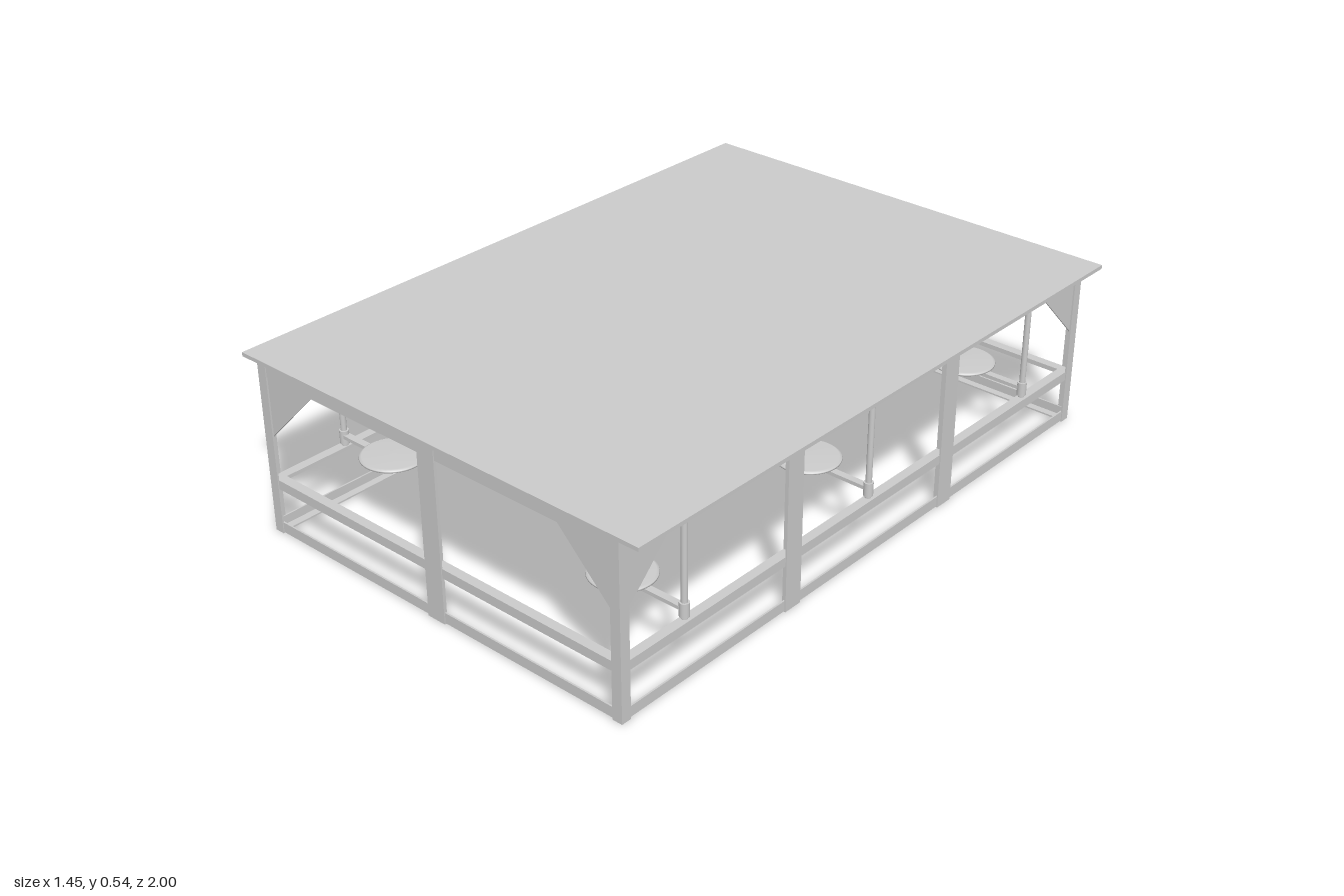
import * as THREE from 'three';

const W = 0.66, D = 1.0;      // half width and half depth of the frame
const F = 0.032, T = 0.005;   // flange width and plate thickness of the angle bars
const TOP = 0.525;            // underside of the tabletop

const mat = new THREE.MeshStandardMaterial({ color: 0xcccccc, side: THREE.DoubleSide });

function add(parent, name, geo, x = 0, y = 0, z = 0) {
  const m = new THREE.Mesh(geo, mat);
  m.name = name;
  m.position.set(x, y, z);
  parent.add(m);
  return m;
}

// box given by its two opposite corners
function span(parent, name, [x0, y0, z0], [x1, y1, z1]) {
  return add(parent, name, new THREE.BoxGeometry(x1 - x0, y1 - y0, z1 - z0),
    (x0 + x1) / 2, (y0 + y1) / 2, (z0 + z1) / 2);
}

// One side of the frame in the XY plane, outer face at z = 0, inside towards -z
function frameSide(name, half, centres) {
  const g = new THREE.Group();
  g.name = name;

  // angle rails: upright flange outside, flat flange at the top or bottom
  const rails = [['apron', 0.493, TOP, true], ['middleRail', 0.143, 0.172, true], ['bottomRail', 0.003, 0.035, false]];
  for (const [part, y0, y1, flatTop] of rails) {
    span(g, part, [-half + T, y0, -T * 1.6], [half - T, y1, -T * 0.6]);
    const fy = flatTop ? y1 - T : y0;
    span(g, part + 'Flange', [-half + T, fy, -F], [half - T, fy + T, -T * 0.6]);
  }

  // intermediate legs: pairs of angles set back to back
  for (const c of centres) {
    span(g, 'middleLeg', [c - 0.031, 0, -T], [c + 0.031, TOP, 0]);
    span(g, 'middleLegWeb', [c - T, 0, -F], [c + T, TOP, -T]);
  }

  // corner leg flanges and triangular gusset plates
  for (const s of [-1, 1]) {
    const a = s * half, b = s * (half - F);
    span(g, 'cornerLeg', [Math.min(a, b), 0, -T], [Math.max(a, b), TOP, 0]);
    const tri = new THREE.Shape([
      new THREE.Vector2(s * (half - T), TOP - 0.003),
      new THREE.Vector2(s * (half - F - 0.215), TOP - 0.003),
      new THREE.Vector2(s * (half - F - 0.18), 0.493),
      new THREE.Vector2(s * (half - F), 0.313),
      new THREE.Vector2(s * (half - T), 0.285),
    ]);
    add(g, 'gusset', new THREE.ExtrudeGeometry(tri, { depth: 0.004, bevelEnabled: false }), 0, 0, -0.012);
  }
  return g;
}

// Swing seat hung on an upright post; the seat reaches towards -x
function swingSeat() {
  const g = new THREE.Group();
  g.name = 'swingSeat';
  add(g, 'post', new THREE.CylinderGeometry(0.009, 0.009, 0.35, 16), 0, 0.345, 0);
  add(g, 'postSleeve', new THREE.CylinderGeometry(0.014, 0.014, 0.042, 16), 0, 0.2, 0);
  span(g, 'arm', [-0.22, 0.198, -0.011], [0, 0.209, 0.011]);
  add(g, 'seatHub', new THREE.CylinderGeometry(0.014, 0.014, 0.027, 16), -0.207, 0.2, 0);
  const profile = [[0, 0.213], [0.088, 0.213], [0.094, 0.216], [0.093, 0.22], [0.086, 0.224], [0, 0.225]]
    .map(([r, y]) => new THREE.Vector2(r, y));
  add(g, 'seat', new THREE.LatheGeometry(profile, 40), -0.207, 0, 0);
  return g;
}

export function createModel() {
  const model = new THREE.Group();
  model.name = 'tableWithSwingSeats';

  // tabletop overhanging the long sides
  span(model, 'tabletop', [-0.723, TOP, -1], [0.723, 0.537, 1]);

  // four frame sides
  for (const s of [-1, 1]) {
    const end = frameSide(s > 0 ? 'frontFrame' : 'backFrame', W, [0]);
    end.position.z = s * D;
    end.rotation.y = s > 0 ? 0 : Math.PI;
    model.add(end);

    const side = frameSide(s > 0 ? 'leftFrame' : 'rightFrame', D, [-0.343, 0.343]);
    side.position.x = s * W;
    side.rotation.y = s * Math.PI / 2;
    model.add(side);

    // three swing seats along each long side
    for (const z of [-0.75, 0, 0.75]) {
      const seat = swingSeat();
      seat.position.set(s * 0.64, 0, z);
      seat.rotation.y = s > 0 ? 0 : Math.PI;
      model.add(seat);
    }
  }
  return model;
}
